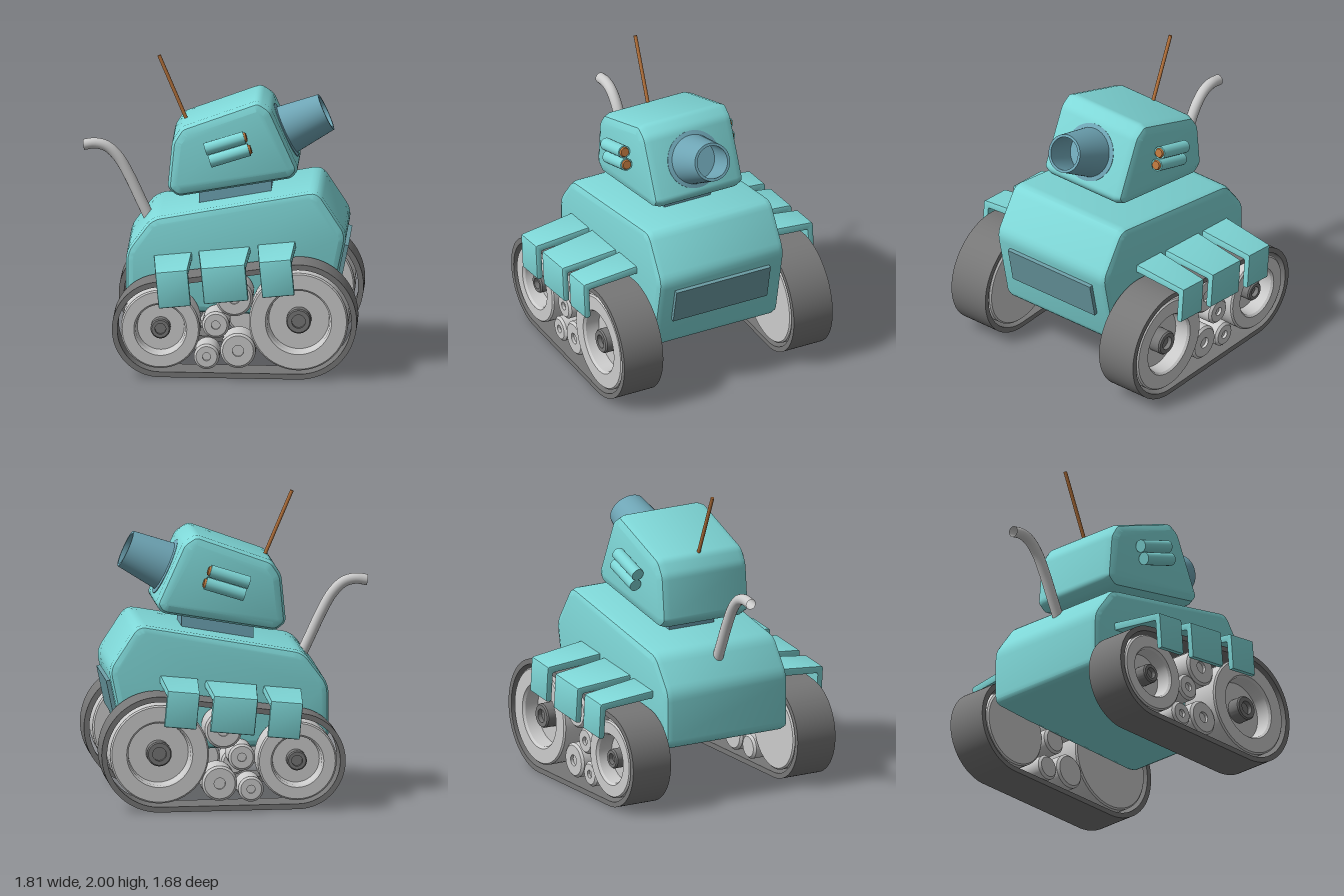
import * as THREE from 'three';
import { toCreasedNormals } from 'three/addons/utils/BufferGeometryUtils.js';

const paint = (color, side = THREE.FrontSide) => new THREE.MeshStandardMaterial({ color, side });
const TEAL = paint(0x7fd8d8), BLUE = paint(0x6fa6b6, THREE.DoubleSide), PANEL = paint(0x6b9ca4);
const GREY = paint(0xcccccc), PIPE = paint(0xcccccc, THREE.DoubleSide);
const RUBBER = paint(0x777777), COPPER = paint(0xb8743c);

function add(parent, name, geometry, material) {
  const mesh = new THREE.Mesh(geometry, material);
  mesh.name = name;
  parent.add(mesh);
  return mesh;
}

// Closed outline whose corners are softened by a distance r
function softShape(points, r) {
  const v = points.map(p => new THREE.Vector2(...p));
  const shape = new THREE.Shape();
  v.forEach((p, i) => {
    const toward = q => p.clone().add(q.clone().sub(p).setLength(r));
    const a = toward(v[(i + v.length - 1) % v.length]);
    const b = toward(v[(i + 1) % v.length]);
    if (i === 0) shape.moveTo(a.x, a.y);
    else shape.lineTo(a.x, a.y);
    shape.quadraticCurveTo(p.x, p.y, b.x, b.y);
  });
  shape.closePath();
  return shape;
}

// Centred slab of a given total width with edges bevelled inwards
function slab(shape, width, bevel, segments = 2, curveSegments = 4) {
  const g = new THREE.ExtrudeGeometry(shape, {
    depth: width - 2 * bevel, bevelEnabled: bevel > 0, bevelSize: bevel, bevelThickness: bevel,
    bevelOffset: -bevel, bevelSegments: segments, curveSegments
  });
  g.translate(0, 0, -(width - 2 * bevel) / 2);
  return toCreasedNormals(g, 0.5);
}

// Cylinder running from point a to point b
function rod(a, b, r0, r1, sides = 20, open = false) {
  const p = new THREE.Vector3(...a), q = new THREE.Vector3(...b), d = q.clone().sub(p);
  const g = new THREE.CylinderGeometry(r1, r0, d.length(), sides, 1, open);
  g.applyQuaternion(new THREE.Quaternion().setFromUnitVectors(new THREE.Vector3(0, 1, 0), d.normalize()));
  return g.translate(...p.add(q).multiplyScalar(0.5).toArray());
}

// Turned part with its axis along z; s is the side it faces
function turned(profile, s) {
  const g = new THREE.LatheGeometry(profile.map(p => new THREE.Vector2(...p)), 48);
  return toCreasedNormals(g.rotateX(s * Math.PI / 2), 0.5);
}

// Belt outline: the outer tangents around two wheels
function beltPath(path, a, b) {
  const d = Math.hypot(b.x - a.x, b.y - a.y);
  const base = Math.atan2(b.y - a.y, b.x - a.x), t = Math.acos((a.r - b.r) / d);
  path.absarc(b.x, b.y, b.r, base - t, base + t, false);
  path.absarc(a.x, a.y, a.r, base + t, base - t + 2 * Math.PI, false);
  path.closePath();
  return path;
}

function createTrack(s) {
  const track = new THREE.Group();
  track.name = s > 0 ? 'leftTrack' : 'rightTrack';
  const wheels = [{ x: -0.37, y: 0.325, r: 0.315 }, { x: 0.53, y: 0.38, r: 0.38 }];
  const belt = beltPath(new THREE.Shape(), ...wheels);
  belt.holes.push(beltPath(new THREE.Path(), ...wheels.map(w => ({ ...w, r: w.r - 0.035 }))));
  add(track, 'trackBelt', slab(belt, 0.285, 0, 1, 40), RUBBER).position.z = s * 0.622;

  // Dished main wheels with protruding hollow hubs
  for (const w of wheels) {
    const R = w.r - 0.057, rim = R * 0.67, hub = R * 0.25;
    const wheel = add(track, 'mainWheel', turned([
      [0, -0.14], [R - 0.01, -0.14], [R, -0.13], [R, 0.125], [R - 0.01, 0.135],
      [rim, 0.135], [rim - 0.012, 0.12], [rim - 0.02, 0.03], [0, 0.03]], s), GREY);
    wheel.position.set(w.x, w.y, s * 0.622);
    const cap = add(track, 'wheelHub', turned([
      [hub, 0.03], [hub, 0.11], [hub - 0.008, 0.12], [hub * 0.55, 0.12],
      [hub * 0.55, 0.09], [0, 0.09]], s), RUBBER);
    cap.position.copy(wheel.position);
  }

  // Small support rollers
  for (const [x, y, r] of [[-0.01, 0.35, 0.088], [-0.07, 0.14, 0.083], [0.135, 0.18, 0.115], [0.11, 0.53, 0.122]]) {
    const roller = add(track, 'roller', turned([
      [0, -0.155], [r - 0.015, -0.155], [r, -0.14], [r, 0.095], [r - 0.015, 0.11],
      [r * 0.32, 0.11], [r * 0.32, 0.09], [0, 0.09]], s), GREY);
    roller.position.set(x, y, s * 0.622);
  }
  return track;
}

// Bent mudguard: sloping top plate and hanging flap, narrower outwards
function createFender(s, x, y, innerWidth, outerWidth) {
  const outline = [[0.44, 0], [0.84, -0.045], [0.84, -0.285], [0.803, -0.285], [0.803, -0.085], [0.44, -0.05]];
  const shape = softShape(outline.map(([z, h]) => [-s * z, h]), 0.012);
  const g = slab(shape, 1, 0.012, 1, 2).rotateY(Math.PI / 2);
  const p = g.attributes.position;
  for (let i = 0; i < p.count; i++) {
    const t = (Math.abs(p.getZ(i)) - 0.44) / 0.4;
    p.setX(i, p.getX(i) * THREE.MathUtils.lerp(innerWidth, outerWidth, t));
  }
  const fender = new THREE.Mesh(toCreasedNormals(g, 0.5), TEAL);
  fender.name = 'fender';
  fender.position.set(x, y, 0);
  fender.rotation.z = 0.095;
  return fender;
}

export function createModel() {
  const model = new THREE.Group();
  model.name = 'toyTank';

  // Hull with a panel on its sloping nose
  const hull = softShape([[-0.605, 0.4], [-0.605, 0.78], [-0.44, 1.0], [0.645, 1.19],
    [0.835, 0.9], [0.72, 0.35], [-0.3, 0.38]], 0.06);
  add(model, 'hull', slab(hull, 0.92, 0.045), TEAL);
  const panel = add(model, 'nosePanel', new THREE.BoxGeometry(0.04, 0.25, 0.69), PANEL);
  panel.position.set(0.797, 0.69, 0);
  panel.rotation.z = -0.206;

  // Neck and turret
  add(model, 'neck', new THREE.BoxGeometry(0.47, 0.24, 0.34), BLUE).position.set(0.097, 1.13, 0);
  const turret = softShape([[-0.345, 1.18], [-0.305, 1.56], [0.29, 1.775], [0.52, 1.27], [0.46, 1.235], [-0.27, 1.11]], 0.035);
  const turretOutline = softShape([[-0.34, 1.17], [-0.31, 1.48], [-0.25, 1.575], [0.25, 1.755],
    [0.335, 1.7], [0.515, 1.3], [0.47, 1.24], [-0.27, 1.115]], 0.03);
  add(model, 'turret', slab(turretOutline, 0.665, 0.06), TEAL);

  // Hollow tapered gun with a base collar, lying along its own y axis
  const gun = new THREE.Group();
  gun.name = 'gun';
  gun.position.set(0.42, 1.505, 0);
  gun.rotation.z = -Math.PI / 2 + 0.433;
  const bore = [[0.19, -0.01], [0.19, 0.006], [0.162, 0.012], [0.126, 0.29], [0.108, 0.29], [0.135, 0.03], [0, 0.03]];
  add(gun, 'barrel', toCreasedNormals(
    new THREE.LatheGeometry(bore.map(p => new THREE.Vector2(...p)), 48), 0.5), BLUE);
  model.add(gun);

  // Twin launchers on both turret sides
  for (const s of [1, -1]) {
    for (const [x, y] of [[-0.09, 1.447], [-0.06, 1.367]]) {
      const at = t => [x + 0.255 * t, y + 0.08 * t, s * 0.378];
      add(model, 'launcherTube', rod(at(0), at(1), 0.042, 0.042), TEAL);
      add(model, 'launcherTip', rod(at(0.98), at(1.05), 0.036, 0.028), COPPER);
    }
    model.add(createTrack(s));
    model.add(createFender(s, -0.3, 0.77, 0.25, 0.21));
    model.add(createFender(s, 0.035, 0.805, 0.34, 0.29));
    model.add(createFender(s, 0.375, 0.845, 0.25, 0.21));
  }

  // Antenna and curved exhaust pipe
  add(model, 'antenna', rod([-0.22, 1.56, 0], [-0.405, 1.995, 0], 0.012, 0.012, 10), COPPER);
  const bend = new THREE.CatmullRomCurve3([[-0.44, 0.86], [-0.52, 1.03], [-0.6, 1.2], [-0.67, 1.32],
    [-0.745, 1.39], [-0.82, 1.41], [-0.897, 1.4]].map(([x, y]) => new THREE.Vector3(x, y, 0)));
  add(model, 'exhaustPipe', new THREE.TubeGeometry(bend, 40, 0.036, 16), PIPE);

  return model;
}
